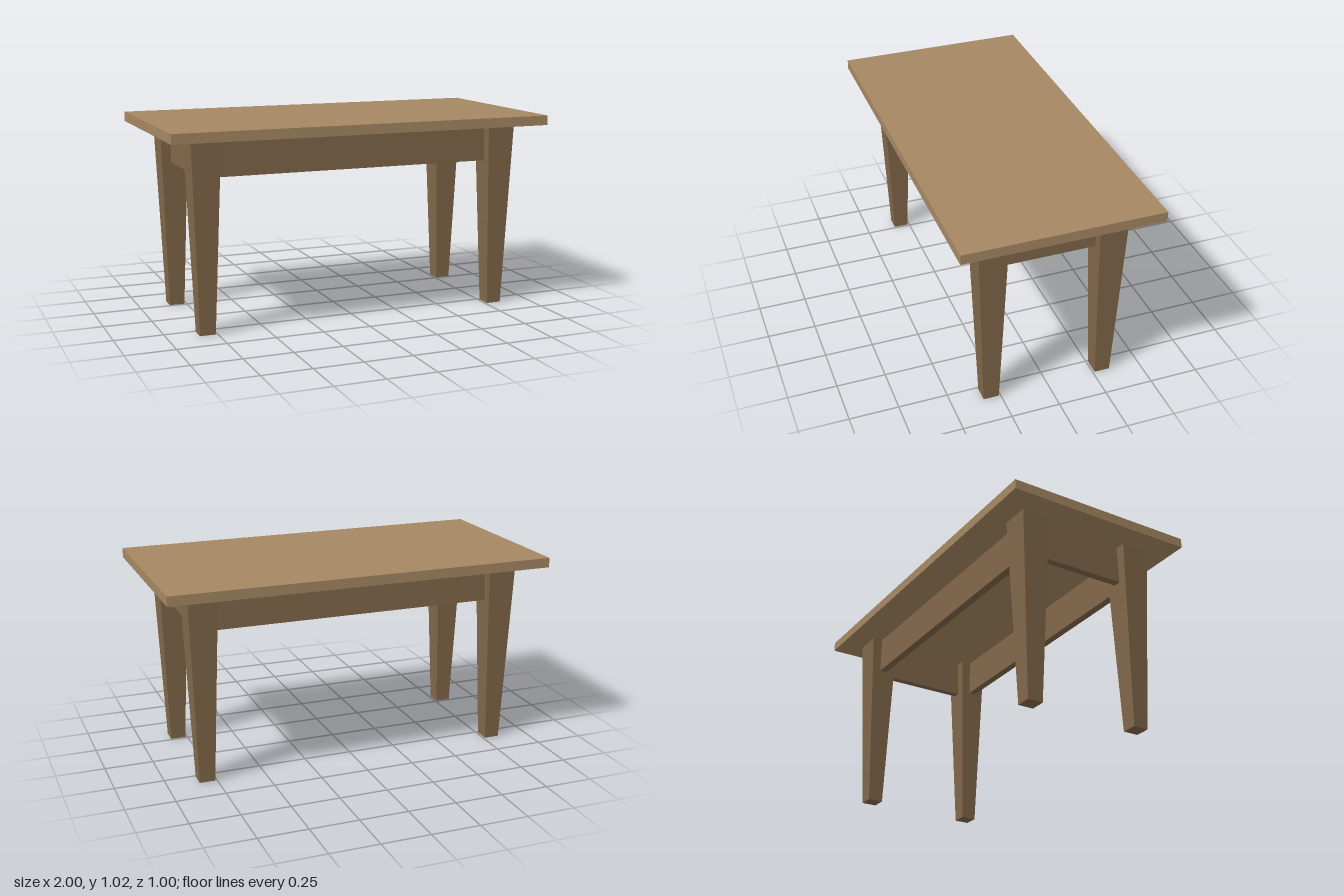
import * as THREE from 'three';

const topWood = new THREE.MeshStandardMaterial({ color: 0xa68863 });
const frameWood = new THREE.MeshStandardMaterial({ color: 0x82684a });

const LEG_X = 0.8, LEG_Z = 0.3, LEG_H = 0.975;

function addBox(group, name, size, position, material) {
  const mesh = new THREE.Mesh(new THREE.BoxGeometry(...size), material);
  mesh.name = name;
  mesh.position.set(...position);
  group.add(mesh);
}

// Square leg, tapering from 0.15 at the top to 0.08 at the foot
function legGeometry() {
  const geometry = new THREE.BoxGeometry(0.15, LEG_H, 0.15);
  const p = geometry.attributes.position;
  const taper = 0.08 / 0.15;
  for (let i = 0; i < p.count; i++) {
    if (p.getY(i) < 0) {
      p.setX(i, p.getX(i) * taper);
      p.setZ(i, p.getZ(i) * taper);
    }
  }
  const flat = geometry.toNonIndexed();
  flat.computeVertexNormals();
  return flat;
}

export function createModel() {
  const table = new THREE.Group();
  table.name = 'table';

  addBox(table, 'tableTop', [2, 0.05, 1], [0, 1, 0], topWood);

  // Four legs
  const leg = legGeometry();
  for (const [side, sx] of [['Left', 1], ['Right', -1]]) {
    for (const [end, sz] of [['front', 1], ['back', -1]]) {
      const mesh = new THREE.Mesh(leg, frameWood);
      mesh.name = `${end}${side}Leg`;
      mesh.position.set(sx * LEG_X, LEG_H / 2, sz * LEG_Z);
      table.add(mesh);
    }
  }

  // Aprons centred on the legs, their ends hidden inside them
  const apronH = 0.195, apronY = LEG_H - apronH / 2, thick = 0.04;
  for (const [name, s] of [['front', 1], ['back', -1]])
    addBox(table, `${name}Apron`, [2 * LEG_X, apronH, thick], [0, apronY, s * LEG_Z], frameWood);
  for (const [name, s] of [['left', 1], ['right', -1]])
    addBox(table, `${name}Apron`, [thick, apronH, 2 * LEG_Z], [s * LEG_X, apronY, 0], frameWood);

  return table;
}
